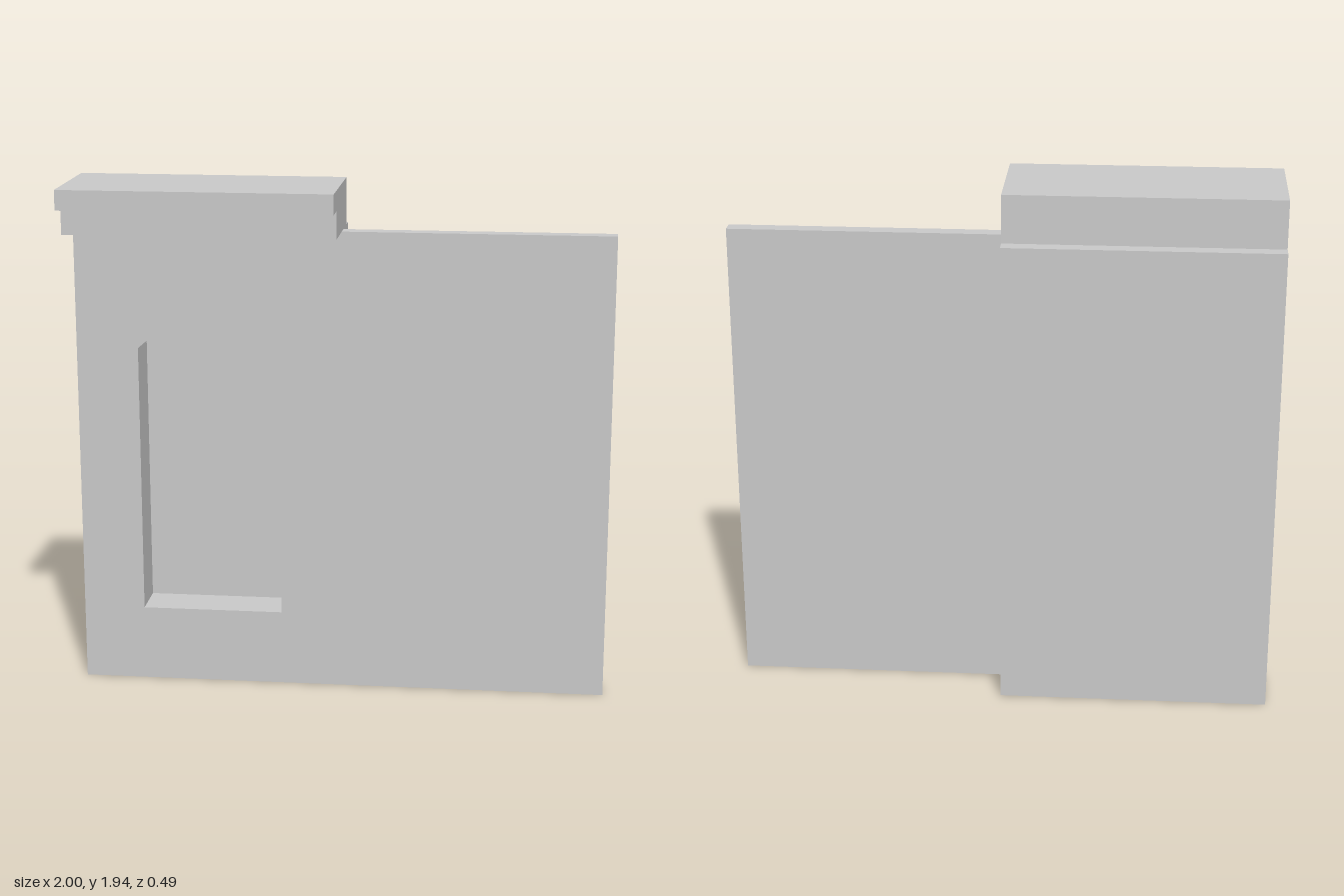
import * as THREE from 'three';

const WALL_TOP = 1.767, FRONT = -0.023, WING_BACK = -0.08, NICHE_BACK = -0.19, BACK = -0.245;

export function createModel() {
  const group = new THREE.Group();
  const material = new THREE.MeshStandardMaterial({ color: 0xcccccc, flatShading: true });

  const add = (name, geometry) => {
    const mesh = new THREE.Mesh(geometry, material);
    mesh.name = name;
    group.add(mesh);
  };
  const box = (name, x0, x1, y0, y1, z0, z1) => add(name,
    new THREE.BoxGeometry(x1 - x0, y1 - y0, z1 - z0)
      .translate((x0 + x1) / 2, (y0 + y1) / 2, (z0 + z1) / 2));
  // Extrude a side profile of [z, y] points along x from -1 to 0
  const points = (list) => list.map(([a, b]) => new THREE.Vector2(a, b));

  // Thin wing wall
  box('wingWall', 0, 1, 0, WALL_TOP, WING_BACK, FRONT);

  // Thick wall pierced by the arched niche
  const wall = new THREE.Shape(points([[-1, 0], [0, 0], [0, WALL_TOP], [-1, WALL_TOP]]));
  wall.holes.push(new THREE.Path(points([
    [-0.767, 0.287], [-0.767, 1.313], [-0.667, 1.401], [-0.5, 1.441],
    [-0.333, 1.401], [-0.233, 1.313], [-0.233, 0.287],
  ])));
  add('nicheWall', new THREE.ExtrudeGeometry(wall, { depth: FRONT - NICHE_BACK, bevelEnabled: false })
    .translate(0, 0, NICHE_BACK));

  // Panel closing the niche at the back
  box('nicheBackPanel', -1, 0, 0, WALL_TOP, BACK, NICHE_BACK);

  // Stepped cornice overhanging the front
  const cornice = new THREE.Shape(points([
    [0.19, WALL_TOP], [0.19, 1.943], [-0.245, 1.943], [-0.245, 1.869], [-0.159, 1.869], [-0.159, WALL_TOP],
  ]));
  add('cornice', new THREE.ExtrudeGeometry(cornice, { depth: 1, bevelEnabled: false })
    .rotateY(Math.PI / 2).translate(-1, 0, 0));

  return group;
}
